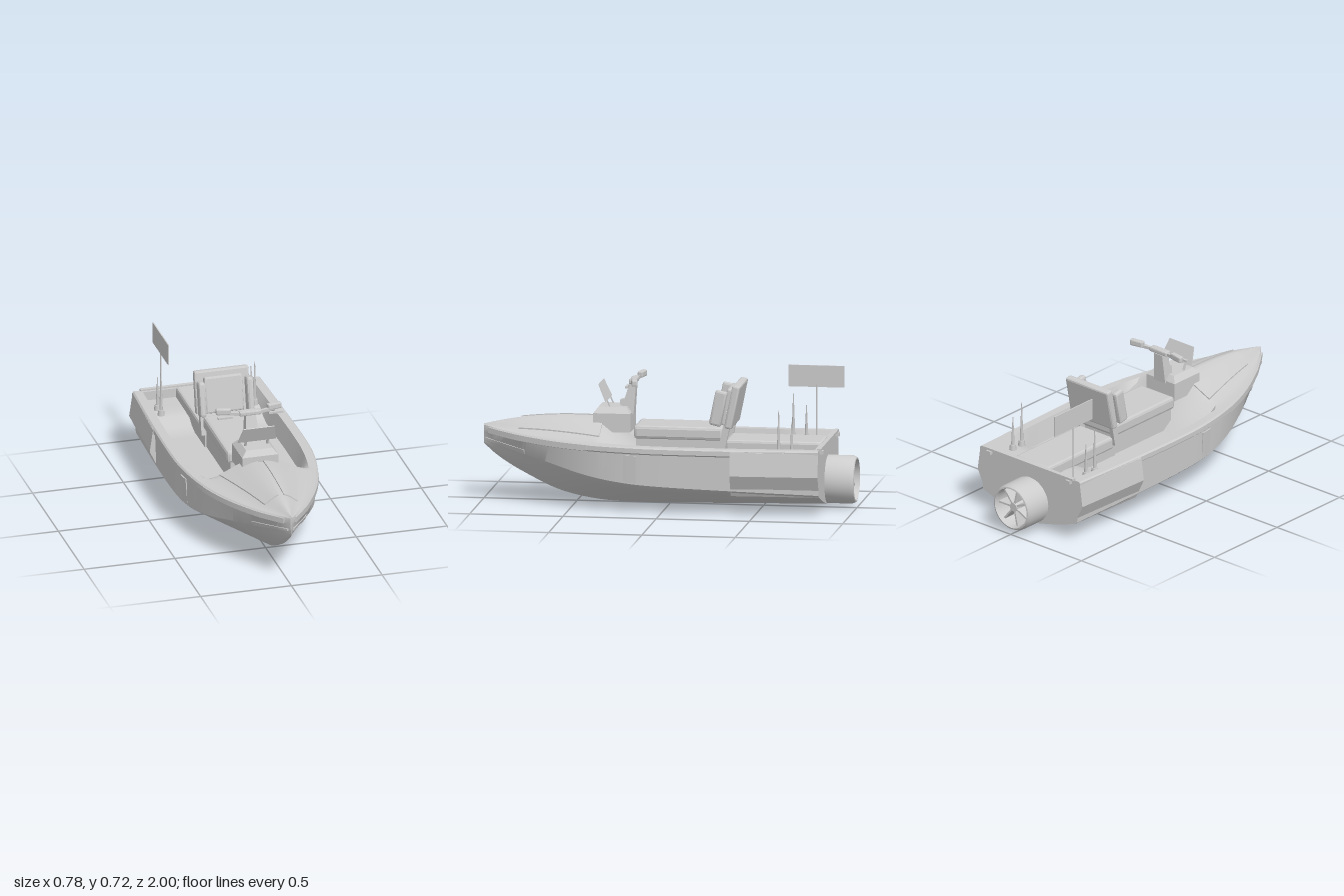
import * as THREE from 'three';
import { toCreasedNormals } from 'three/addons/utils/BufferGeometryUtils.js';
import { RoundedBoxGeometry } from 'three/addons/geometries/RoundedBoxGeometry.js';

const mat = new THREE.MeshStandardMaterial({ color: 0xcccccc, side: THREE.DoubleSide });
const STERN = -0.84;
const lerp = THREE.MathUtils.lerp;

// Smooth curve through values given at the hull stations
const stations = [STERN, -0.4, 0, 0.2, 0.4, 0.6, 0.8, 0.9, 0.96, 1];
function spline(v) {
  const z = stations, n = z.length;
  const slope = i => {
    const a = Math.max(i - 1, 0), b = Math.min(i + 1, n - 1);
    return (v[b] - v[a]) / (z[b] - z[a]);
  };
  return q => {
    let i = 0;
    while (i < n - 2 && q > z[i + 1]) i++;
    const h = z[i + 1] - z[i], t = (q - z[i]) / h, t2 = t * t, t3 = t2 * t;
    return (2 * t3 - 3 * t2 + 1) * v[i] + (t3 - 2 * t2 + t) * h * slope(i)
      + (3 * t2 - 2 * t3) * v[i + 1] + (t3 - t2) * h * slope(i + 1);
  };
}
const beam = spline([0.345, 0.36, 0.365, 0.35, 0.31, 0.24, 0.14, 0.075, 0.033, 0.004]);
const keelY = spline([0.02, 0.01, 0.004, 0.002, 0.015, 0.06, 0.155, 0.215, 0.26, 0.3]);
const chineX = spline([0.325, 0.345, 0.352, 0.338, 0.29, 0.212, 0.112, 0.055, 0.024, 0.003]);
const chineY = spline([0.11, 0.125, 0.14, 0.153, 0.18, 0.225, 0.272, 0.295, 0.308, 0.32]);
const sheerY = spline([0.36, 0.357, 0.358, 0.36, 0.362, 0.367, 0.378, 0.386, 0.392, 0.395]);
const crownY = spline([0.42, 0.42, 0.43, 0.44, 0.458, 0.458, 0.442, 0.425, 0.412, 0.402]);

// Surface from rows of points
function grid(rows, crease = 0.5) {
  const cols = rows[0].length, idx = [];
  for (let r = 0; r < rows.length - 1; r++)
    for (let c = 0; c < cols - 1; c++) {
      const a = r * cols + c, b = a + cols;
      idx.push(a, b, b + 1, a, b + 1, a + 1);
    }
  const g = new THREE.BufferGeometry();
  g.setAttribute('position', new THREE.Float32BufferAttribute(rows.flat(2), 3));
  g.setIndex(idx);
  return toCreasedNormals(g, crease);
}
const range = (a, b, n) => Array.from({ length: n + 1 }, (_, i) => lerp(a, b, i / n));

// Raised plate lying on a surface fn(z, s), with a skirt round its edge
function plate(fn, z0, z1, s0, s1, offset, nz = 12, ns = 6) {
  const zs = [z0, ...range(z0, z1, nz), z1], ss = [s0, ...range(s0, s1, ns), s1];
  return grid(zs.map((z, i) => ss.map((s, j) => {
    const edge = i === 0 || j === 0 || i === zs.length - 1 || j === ss.length - 1;
    return fn(z, s).map((p, k) => p + offset[k] * (edge ? -0.5 : 1));
  })));
}

// Half section of the hull from the gunwale down to the keel
function section(z) {
  const w = beam(z), s = sheerY(z), cx = chineX(z), cy = chineY(z), k = keelY(z);
  const lip = 0.008 * Math.min(1, w / 0.06);
  const pts = [[w, s], [w + lip, s - 0.008], [w + lip, s - 0.033], [w, s - 0.04],
    [cx + lip, cy + 0.008], [cx, cy]];
  for (const t of [0.8, 0.6, 0.4, 0.2, 0])
    pts.push([cx * t, lerp(k, cy, t) - 0.035 * t * (1 - t)]);
  return pts;
}
const hullSide = (z, s) => [lerp(chineX(z), beam(z), s), lerp(chineY(z), sheerY(z) - 0.04, s), z];

// Foredeck height and the whole upper surface including the cockpit well
const deckY = (t, z) => lerp(sheerY(z), crownY(z), (1 + Math.cos(Math.PI * Math.min(1, Math.abs(t) * 1.05))) / 2);
function topY(t, z) {
  const floor = 0.25 + 0.06 * THREE.MathUtils.smoothstep(-z, 0.5, 0.64);
  const wall = THREE.MathUtils.clamp((Math.abs(t) - 0.8) / 0.07, 0, 1);
  const blend = THREE.MathUtils.clamp((z - 0.11) / 0.24, 0, 1);
  return lerp(lerp(floor, sheerY(z), wall), deckY(t, z), blend);
}

// Box whose top face is scaled
function taperBox(w, h, d, sx, sz) {
  const g = new THREE.BoxGeometry(w, h, d), p = g.attributes.position;
  for (let i = 0; i < p.count; i++)
    if (p.getY(i) > 0) p.setXYZ(i, p.getX(i) * sx, p.getY(i), p.getZ(i) * sz);
  return toCreasedNormals(g, 0.3);
}
const softBox = (w, h, d, r = 0.012) => toCreasedNormals(new RoundedBoxGeometry(w, h, d, 1, r), 0.3);

export function createModel() {
  const model = new THREE.Group();
  const add = (name, geo, x = 0, y = 0, z = 0, rx = 0, ry = 0, rz = 0, parent = model) => {
    const m = new THREE.Mesh(geo, mat);
    m.name = name;
    m.position.set(x, y, z);
    m.rotation.set(rx, ry, rz);
    parent.add(m);
    return m;
  };

  // Hull shell
  const zs = [...range(STERN, 0.1, 16), ...range(0.11, 0.35, 6), ...range(0.38, 1, 26)];
  add('hull', grid(zs.map(z => {
    const half = section(z);
    return [...half, ...half.slice(0, -1).reverse().map(([x, y]) => [-x, y])].map(([x, y]) => [x, y, z]);
  })));

  // Deck and cockpit
  const half = [1, 0.87, 0.8, 0.7, 0.6, 0.5, 0.4, 0.3, 0.2, 0.1];
  const ts = [...half.map(t => -t), 0, ...half.slice().reverse()];
  add('deckAndCockpit', grid(zs.map(z => ts.map(t => [t * beam(z), topY(t, z), z]))));

  // Transom
  const rim = section(STERN);
  const outline = [...rim, ...rim.slice(0, -1).reverse().map(([x, y]) => [-x, y])];
  add('transom', new THREE.ExtrudeGeometry(new THREE.Shape(outline.map(p => new THREE.Vector2(...p))),
    { depth: 0.025, bevelEnabled: false }), 0, 0, STERN - 0.005);
  add('transomRail', new THREE.BoxGeometry(0.62, 0.012, 0.022), 0, 0.362, STERN - 0.005);

  // Parts repeated on both sides
  const hatch = (z, s) => {
    const x = lerp(0.015, lerp(0.215, 0.09, (z - 0.34) / 0.46), s);
    return [x, deckY(x / beam(z), z), z];
  };
  for (const side of [1, -1]) {
    const g = new THREE.Group();
    g.name = side > 0 ? 'leftFittings' : 'rightFittings';
    g.scale.x = side;
    model.add(g);
    const put = (name, geo, ...a) => add(name, geo, ...[...a, 0, 0, 0, 0, 0, 0].slice(0, 6), g);

    put('deckHatch', plate(hatch, 0.35, 0.8, 0, 1, [0, 0.007, 0]));
    put('sideStrip', plate(hullSide, 0.13, 0.2, 0.95, 0.05, [0.007, 0, 0], 3, 2));
    put('bowPlate', plate(hullSide, 0.76, 0.985, 0.4, 0.05, [0.008, 0, 0.004], 8, 2));
    put('bowGuard', plate((z, s) => [beam(z) + 0.005, sheerY(z) - lerp(0.036, 0.006, s), z],
      0.4, 0.97, 1, 0, [0.006, 0, 0.003], 18, 2));

    // Stern side pod, narrowing aft
    const pod = new THREE.Shape([[0.3, 0.1], [0.335, 0.105], [0.39, 0.22], [0.372, 0.345], [0.35, 0.357], [0.32, 0.35]]
      .map(p => new THREE.Vector2(...p)));
    const podGeo = new THREE.ExtrudeGeometry(pod, { depth: 0.47, bevelEnabled: false });
    const p = podGeo.attributes.position;
    for (let i = 0; i < p.count; i++) p.setX(i, p.getX(i) - 0.02 * (1 - p.getZ(i) / 0.47));
    podGeo.computeVertexNormals();
    put('sternPod', podGeo, 0, 0, STERN - 0.005);

    // Tapered whip antennas
    for (const [z, top] of [[-0.62, 0.56], [-0.69, 0.5]]) {
      const h = top - 0.31;
      put('antennaBase', new THREE.CylinderGeometry(0.016, 0.02, 0.03, 8), 0.258, 0.325, z);
      put('antenna', new THREE.CylinderGeometry(0.002, 0.011, h, 8), 0.258, 0.31 + h / 2, z);
    }

    // Handlebar half
    put('handlebarArm', new THREE.BoxGeometry(0.14, 0.016, 0.016), 0.1, 0.656, 0.185, 0, 0.2, 0.05);
    put('handGrip', softBox(0.08, 0.034, 0.03, 0.007), 0.14, 0.668, 0.172, 0, 0.18);
    put('brakeLever', new THREE.BoxGeometry(0.08, 0.01, 0.014), 0.14, 0.647, 0.21);

    // Backrest bolster
    put('backrestBolster', softBox(0.036, 0.19, 0.065), 0.132, 0.54, -0.277, -0.2);
    put('cleat', new THREE.BoxGeometry(0.03, 0.02, 0.02), 0.28, 0.345, STERN - 0.015);
  }

  // Bench seat
  add('frontSeat', softBox(0.24, 0.07, 0.48, 0.016), 0, 0.396, -0.06);
  add('frontSeatBase', new THREE.BoxGeometry(0.2, 0.15, 0.46), 0, 0.31, -0.06);
  add('rearSeat', softBox(0.24, 0.07, 0.52, 0.014), 0, 0.332, -0.57);
  add('rearSeatBase', new THREE.BoxGeometry(0.22, 0.08, 0.54), 0, 0.28, -0.56);

  // Backrest
  add('backrest', softBox(0.3, 0.235, 0.042, 0.01), 0, 0.547, -0.352, -0.2);
  add('backrestCushion', softBox(0.21, 0.2, 0.035, 0.01), 0, 0.54, -0.318, -0.2);
  for (const x of [-0.12, 0.12])
    add('backrestLeg', new THREE.BoxGeometry(0.024, 0.2, 0.035), x, 0.42, -0.315, -0.2);

  // Console, windscreen and steering column
  add('consoleBase', taperBox(0.2, 0.1, 0.2, 1, 1), 0, 0.44, 0.3);
  add('consoleTop', taperBox(0.2, 0.032, 0.2, 0.72, 0.75), 0, 0.505, 0.3);
  const screen = new THREE.Shape([[-0.105, 0], [0.105, 0], [0.085, 0.1], [-0.085, 0.1]].map(p => new THREE.Vector2(...p)));
  add('windscreen', new THREE.ExtrudeGeometry(screen, { depth: 0.006, bevelEnabled: false }), 0, 0.554, 0.328, 0.42);
  for (const x of [-0.06, 0.06])
    add('windscreenStay', new THREE.BoxGeometry(0.012, 0.06, 0.006), x, 0.535, 0.322, 0.42);
  add('steeringColumn', taperBox(0.08, 0.16, 0.07, 0.7, 0.5), 0, 0.565, 0.212, -0.18);
  add('steeringHead', softBox(0.12, 0.026, 0.04, 0.007), 0, 0.657, 0.195);
  add('throttleBox', taperBox(0.05, 0.05, 0.04, 0.8, 0.6), 0, 0.53, 0.25, 0.3);

  // Flag on its pole
  add('flagPole', new THREE.CylinderGeometry(0.004, 0.005, 0.32, 8), -0.222, 0.46, -0.75);
  add('flag', new THREE.BoxGeometry(0.006, 0.116, 0.3), -0.222, 0.664, -0.75);

  // Jet nozzle with hub and vanes
  const jet = new THREE.Group();
  jet.name = 'jetNozzle';
  jet.position.set(0, 0.153, STERN);
  model.add(jet);
  const duct = new THREE.LatheGeometry([[0, 0.03], [0.106, 0.03], [0.106, 0.14], [0.112, 0.16], [0.12, 0.158], [0.128, 0.14], [0.129, -0.02]]
    .map(p => new THREE.Vector2(...p)), 32);
  add('duct', toCreasedNormals(duct, 0.5), 0, 0, 0, -Math.PI / 2, 0, 0, jet);
  add('hub', new THREE.CylinderGeometry(0.024, 0.03, 0.1, 16), 0, 0, -0.09, -Math.PI / 2, 0, 0, jet);
  for (let i = 0; i < 7; i++) {
    const a = i / 7 * Math.PI * 2;
    add('vane', new THREE.BoxGeometry(0.086, 0.01, 0.07),
      Math.cos(a) * 0.065, Math.sin(a) * 0.065, -0.1, 0, 0, a, jet);
  }
  return model;
}
